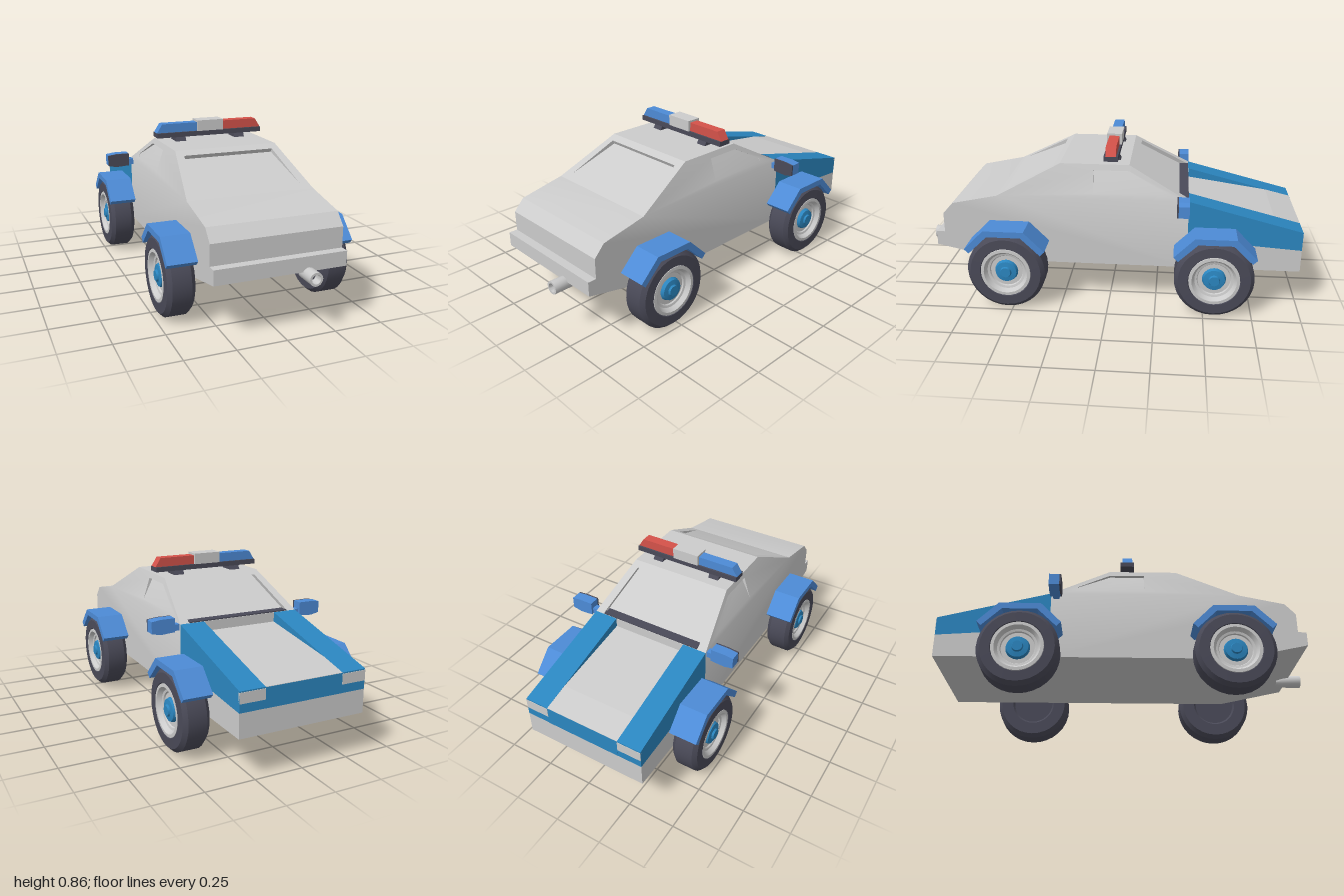
import * as THREE from 'three';
import { mergeGeometries, toCreasedNormals } from 'three/addons/utils/BufferGeometryUtils.js';

const material = (color, extra = {}) => new THREE.MeshStandardMaterial({ color, ...extra });
const GREY = material(0xcccccc);
const DARK = material(0x4a4a58);
const BLUE = material(0x4d8bd6);
const PAINT = material(0x2b86c0);
const RED = material(0xd4524a);

const shapeOf = (pts) => new THREE.Shape(pts.map(([a, b]) => new THREE.Vector2(a, b)));

// Profile in (z, y), extruded across from x0 to x1
function across(profile, x0, x1) {
  const g = new THREE.ExtrudeGeometry(shapeOf(profile), { depth: x1 - x0, bevelEnabled: false });
  return g.rotateY(-Math.PI / 2).translate(x1, 0, 0);
}

// Profile in (x, y), extruded along z from z0 to z1
function along(profile, z0, z1) {
  const g = new THREE.ExtrudeGeometry(shapeOf(profile), { depth: z1 - z0, bevelEnabled: false });
  return g.translate(0, 0, z0);
}

function box(x0, x1, y0, y1, z0, z1) {
  return new THREE.BoxGeometry(x1 - x0, y1 - y0, z1 - z0)
    .translate((x0 + x1) / 2, (y0 + y1) / 2, (z0 + z1) / 2);
}

// Solid of revolution about x, from [radius, x] points
function turned(pts, segments = 32) {
  const g = new THREE.LatheGeometry(pts.map(([r, h]) => new THREE.Vector2(r, h)), segments);
  return toCreasedNormals(g.rotateZ(-Math.PI / 2), 0.5);
}

function bare(g) {
  const out = g.index ? g.toNonIndexed() : g;
  out.deleteAttribute('uv');
  return out;
}

// Sloping cabin face with a sunken window; at(a, b, sunk) places a point
function windowFace(outline, hole, at) {
  const rim = hole.map(([a, b]) => new THREE.Vector2(a, b));
  if (THREE.ShapeUtils.isClockWise(rim)) rim.reverse();
  const frame = shapeOf(outline);
  frame.holes.push(new THREE.Path(rim));
  const place = (shape, sunk) => {
    const g = bare(new THREE.ShapeGeometry(shape));
    const p = g.attributes.position;
    for (let i = 0; i < p.count; i++) p.setXYZ(i, ...at(p.getX(i), p.getY(i), sunk));
    g.computeVertexNormals();
    return g;
  };
  const walls = [];
  rim.forEach((p, i) => {
    const q = rim[(i + 1) % rim.length];
    const p0 = at(p.x, p.y, 0), q0 = at(q.x, q.y, 0), p1 = at(p.x, p.y, 1), q1 = at(q.x, q.y, 1);
    walls.push(...p0, ...q0, ...q1, ...p0, ...q1, ...p1);
  });
  const reveal = new THREE.BufferGeometry();
  reveal.setAttribute('position', new THREE.Float32BufferAttribute(walls, 3));
  reveal.computeVertexNormals();
  return [place(frame, 0), place(new THREE.Shape(rim), 1), reveal];
}

export function createModel() {
  const model = new THREE.Group();
  const add = (name, geometry, mat, parent = model) => {
    const mesh = new THREE.Mesh(geometry, mat);
    mesh.name = name;
    parent.add(mesh);
    return mesh;
  };
  const W = 0.335, R = 0.28, WAIST = 0.58, ROOF = 0.75;
  const rise = (y) => (y - WAIST) / (ROOF - WAIST);

  // Lower body and cabin
  const lower = across([[-0.41, 0.21], [0.57, 0.21], [0.93, 0.29], [0.93, 0.365], [0.885, 0.365],
    [0.885, 0.47], [0.83, 0.53], [0.59, WAIST], [-0.41, WAIST]], -W, W);
  const endOutline = [[-W, WAIST], [W, WAIST], [R, ROOF], [-R, ROOF]];
  const tailWindow = windowFace(endOutline, [[-0.28, 0.6], [0.28, 0.6], [0.245, 0.73], [-0.245, 0.73]],
    (a, b, s) => {
      const d = s * 0.022 * (b - 0.6) / 0.13;
      return [a, b - d * 0.89, 0.59 - 0.33 * rise(b) - d * 0.46];
    });
  const windshield = windowFace(endOutline, [[-0.287, 0.583], [0.287, 0.583], [0.245, 0.73], [-0.245, 0.73]],
    (a, b, s) => [-a, b, -0.41 + 0.31 * rise(b) + s * 0.045]);
  const sides = [1, -1].flatMap((s) => {
    const flip = ([z, y]) => [-s * z, y];
    return windowFace(
      [[0.59, WAIST], [-0.41, WAIST], [-0.1, ROOF], [0.26, ROOF]].map(flip),
      [[0.085, 0.605], [-0.27, 0.605], [-0.27, 0.63], [-0.1, 0.72], [0.085, 0.72]].map(flip),
      (a, b, k) => [s * (W - 0.055 * rise(b) - k * 0.02 * (b - 0.605) / 0.115), b, -s * a]);
  });
  const roof = new THREE.PlaneGeometry(2 * R, 0.36).rotateX(-Math.PI / 2).translate(0, ROOF, 0.08);
  const shell = [lower, roof, ...tailWindow, ...windshield, ...sides].map(bare);
  add('body', toCreasedNormals(mergeGeometries(shell), 0.4), GREY);
  add('cowl', box(-0.283, 0.283, 0.575, 0.586, -0.409, -0.36), DARK);

  // Nose: grey base, sunken hood centre, painted sides and front band
  add('noseBase', across([[-0.998, 0.21], [-0.41, 0.21], [-0.41, 0.37], [-0.998, 0.33]], -W, W), GREY);
  add('hood', across([[-0.998, 0.33], [-0.41, 0.37], [-0.41, 0.53], [-0.86, 0.464], [-0.998, 0.43]],
    -0.205, 0.205), GREY);
  add('frontBand', box(-0.205, 0.205, 0.33, 0.428, -0.999, -0.99), PAINT);
  for (const s of [1, -1]) {
    const x0 = s > 0 ? 0.205 : -W;
    add('hoodStripe', across([[-0.998, 0.33], [-0.41, 0.37], [-0.41, WAIST], [-0.998, 0.43]],
      x0, x0 + 0.13), PAINT);
    add('headlight', box(x0, x0 + 0.13, 0.372, 0.424, -1, -0.99), GREY);
  }

  // Wheels and fenders
  const tyre = turned([[0, -0.06], [0.11, -0.06], [0.12, -0.07], [0.185, -0.07], [0.205, -0.048],
    [0.205, 0.048], [0.185, 0.068], [0.135, 0.07], [0.125, 0.05]]);
  const rim = turned([[0.133, 0.05], [0.131, 0.069], [0.115, 0.07], [0.1, 0.048], [0.088, 0.045],
    [0.084, 0.038], [0, 0.038]]);
  const hub = turned([[0.062, 0.036], [0.055, 0.056], [0.03, 0.06], [0.026, 0.07], [0, 0.07]], 20);
  const arch = [[-0.21, 0.335], [-0.105, 0.44], [0.105, 0.44], [0.21, 0.335],
    [0.187, 0.312], [0.088, 0.408], [-0.088, 0.408], [-0.187, 0.312]];
  for (const [place, z] of [['rear', 0.53], ['front', -0.55]]) {
    for (const s of [1, -1]) {
      const wheel = new THREE.Group();
      wheel.name = place + 'Wheel';
      add('tyre', tyre, DARK, wheel);
      add('rim', rim, GREY, wheel);
      add('hub', hub, PAINT, wheel);
      wheel.position.set(s * 0.41, 0.206, z);
      if (s < 0) wheel.rotation.y = Math.PI;
      model.add(wheel);
      const x0 = s > 0 ? 0.333 : -0.485;
      add(place + 'Fender', across(arch.map(([a, b]) => [a + z, b]), x0, x0 + 0.152), BLUE);
    }
  }

  // Side mirrors
  for (const s of [1, -1]) {
    const outline = [[0.365, 0.545], [0.44, 0.54], [0.487, 0.55], [0.487, 0.61], [0.44, 0.616], [0.365, 0.616]]
      .map(([x, y]) => [s * x, y]);
    add('mirrorHousing', along(outline, -0.412, -0.358), BLUE);
    add('mirrorGlass', along(outline, -0.358, -0.35), DARK);
    add('mirrorArm', box(Math.min(s * 0.32, s * 0.38), Math.max(s * 0.32, s * 0.38), 0.548, 0.58, -0.4, -0.365), BLUE);
  }

  // Light bar
  add('lightBarBase', box(-0.302, 0.302, 0.772, 0.798, -0.042, 0.032), DARK);
  add('lightBarCentre', box(-0.075, 0.075, 0.798, 0.856, -0.045, 0.035), GREY);
  for (const s of [1, -1]) {
    const lens = [[0.07, 0.798], [0.302, 0.798], [0.272, 0.845], [0.07, 0.845]].map(([x, y]) => [s * x, y]);
    add('lightBarLens', along(lens, -0.032, 0.022), s > 0 ? RED : BLUE);
    const x = s * 0.171;
    add('lightBarFoot', across([[-0.05, 0.748], [0.04, 0.748], [0.025, 0.773], [-0.035, 0.773]],
      x - 0.029, x + 0.029), DARK);
  }

  // Exhaust pipe
  const pipe = turned([[0.022, 0], [0.034, 0.03], [0.034, 0.14], [0.023, 0.14], [0.023, 0.08]], 20);
  const bore = turned([[0.023, 0.07], [0.023, 0.09], [0, 0.09]], 20);
  for (const [name, g, mat] of [['exhaustPipe', pipe, GREY], ['exhaustBore', bore, DARK]]) {
    const mesh = add(name, g, mat);
    mesh.rotation.y = -Math.PI / 2;
    mesh.position.set(0.137, 0.277, 0.86);
  }
  return model;
}
